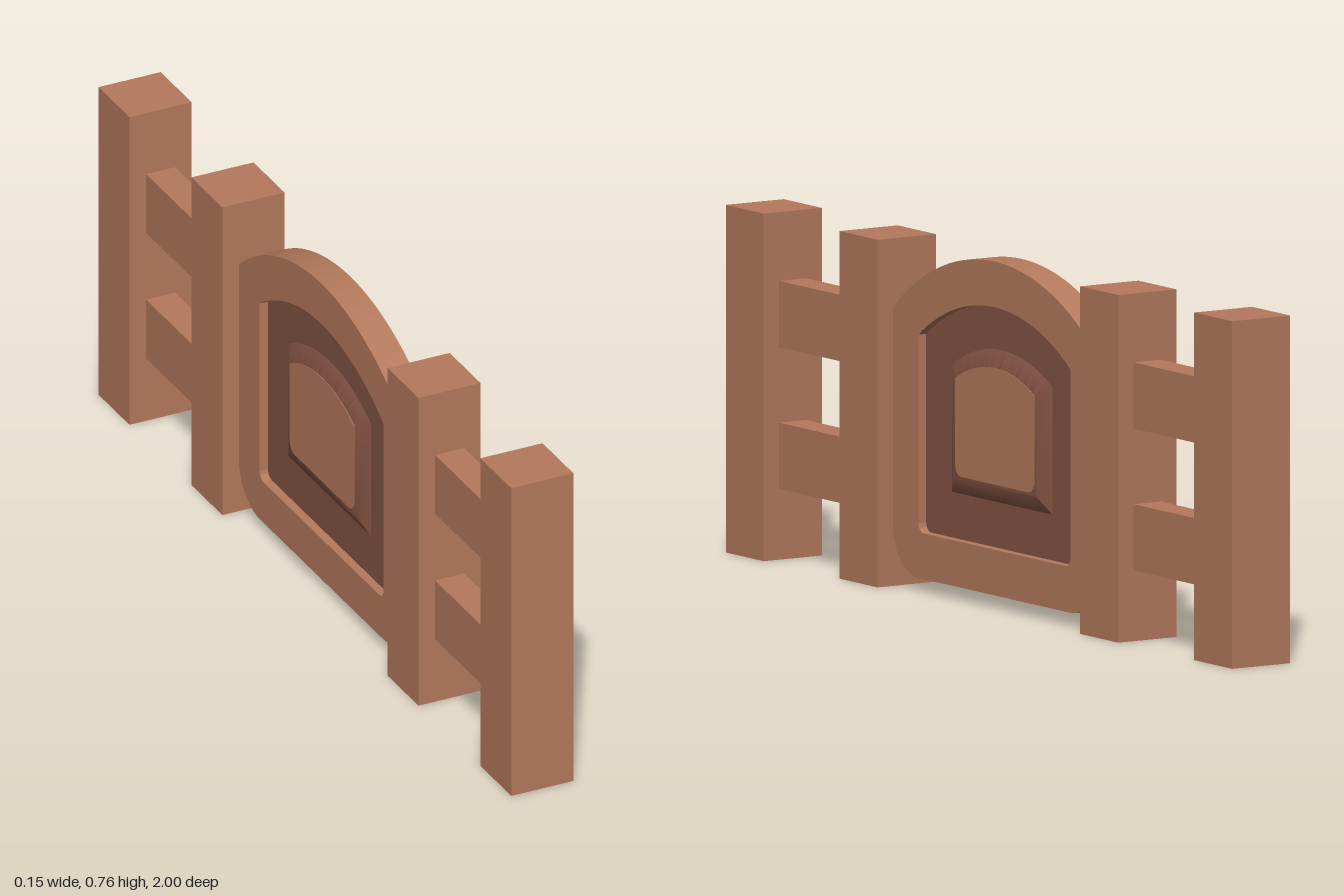
import * as THREE from 'three';
import { toCreasedNormals } from 'three/addons/utils/BufferGeometryUtils.js';

const mat = (name, color) => Object.assign(new THREE.MeshStandardMaterial({ color }), { name });

// Arched door outline: half width, bottom, shoulder height, crown height, bottom corner radius
function archShape(w, bottom, side, top, r, Type = THREE.Shape) {
  const rise = top - side;
  const R = (w * w + rise * rise) / (2 * rise);
  const a = Math.asin(w / R);
  const s = new Type();
  s.moveTo(-w + r, bottom);
  s.lineTo(w - r, bottom);
  if (r > 0) s.absarc(w - r, bottom + r, r, -Math.PI / 2, 0, false);
  s.lineTo(w, side);
  s.absarc(0, top - R, R, Math.PI / 2 - a, Math.PI / 2 + a, false);
  s.lineTo(-w, bottom + r);
  if (r > 0) s.absarc(-w + r, bottom + r, r, Math.PI, Math.PI * 1.5, false);
  return s;
}

// Extrudes an outline along x, centred on x = 0
function slab(shape, depth, bevel = {}) {
  const g = new THREE.ExtrudeGeometry(shape, { depth, bevelEnabled: false, curveSegments: 20, ...bevel });
  g.translate(0, 0, -depth / 2);
  g.rotateY(Math.PI / 2);
  return toCreasedNormals(g, 0.5);
}

export function createModel() {
  const group = new THREE.Group();
  group.name = 'fenceGate';
  const wood = mat('wood', 0xb57a5d);
  const darkWood = mat('darkWood', 0x845443);
  const metal = mat('hingeMetal', 0x93a3cc);

  const add = (name, geometry, material, x = 0, y = 0, z = 0) => {
    const m = new THREE.Mesh(geometry, material);
    m.name = name;
    m.position.set(x, y, z);
    group.add(m);
    return m;
  };

  // Fence sections on both sides of the gate
  const post = new THREE.BoxGeometry(0.15, 0.76, 0.15);
  const rail = new THREE.BoxGeometry(0.07, 0.145, 0.3);
  for (const s of [1, -1]) {
    add('outerPost', post, wood, 0, 0.38, s * 0.925);
    add('innerPost', post, wood, 0, 0.38, s * 0.475);
    add('lowerRail', rail, wood, 0, 0.227, s * 0.7);
    add('upperRail', rail, wood, 0, 0.537, s * 0.7);
  }

  // Arched gate frame with its opening
  const frame = archShape(0.4, 0.03, 0.61, 0.76, 0.1);
  frame.holes.push(archShape(0.3, 0.13, 0.562, 0.66, 0.02, THREE.Path));
  add('gateFrame', slab(frame, 0.07), wood);

  // Recessed dark panel with a bevelled raised field on both faces
  add('gatePanel', slab(archShape(0.305, 0.125, 0.565, 0.665, 0.02), 0.03), darkWood);
  add('raisedField', slab(archShape(0.163, 0.266, 0.487, 0.528, 0), 0.03, {
    bevelEnabled: true, bevelSegments: 1, bevelSize: 0.036, bevelThickness: 0.018,
  }), darkWood);
  add('centrePlate', slab(archShape(0.156, 0.272, 0.486, 0.527, 0.025), 0.069), wood);

  // Hinges on the +x face, half behind the post
  const hinge = new THREE.CylinderGeometry(1, 1, 1, 16);
  for (const y of [0.225, 0.525]) {
    add('hinge', hinge, metal, 0.035, y, -0.4).scale.set(0.014, 0.085, 0.038);
  }
  return group;
}
